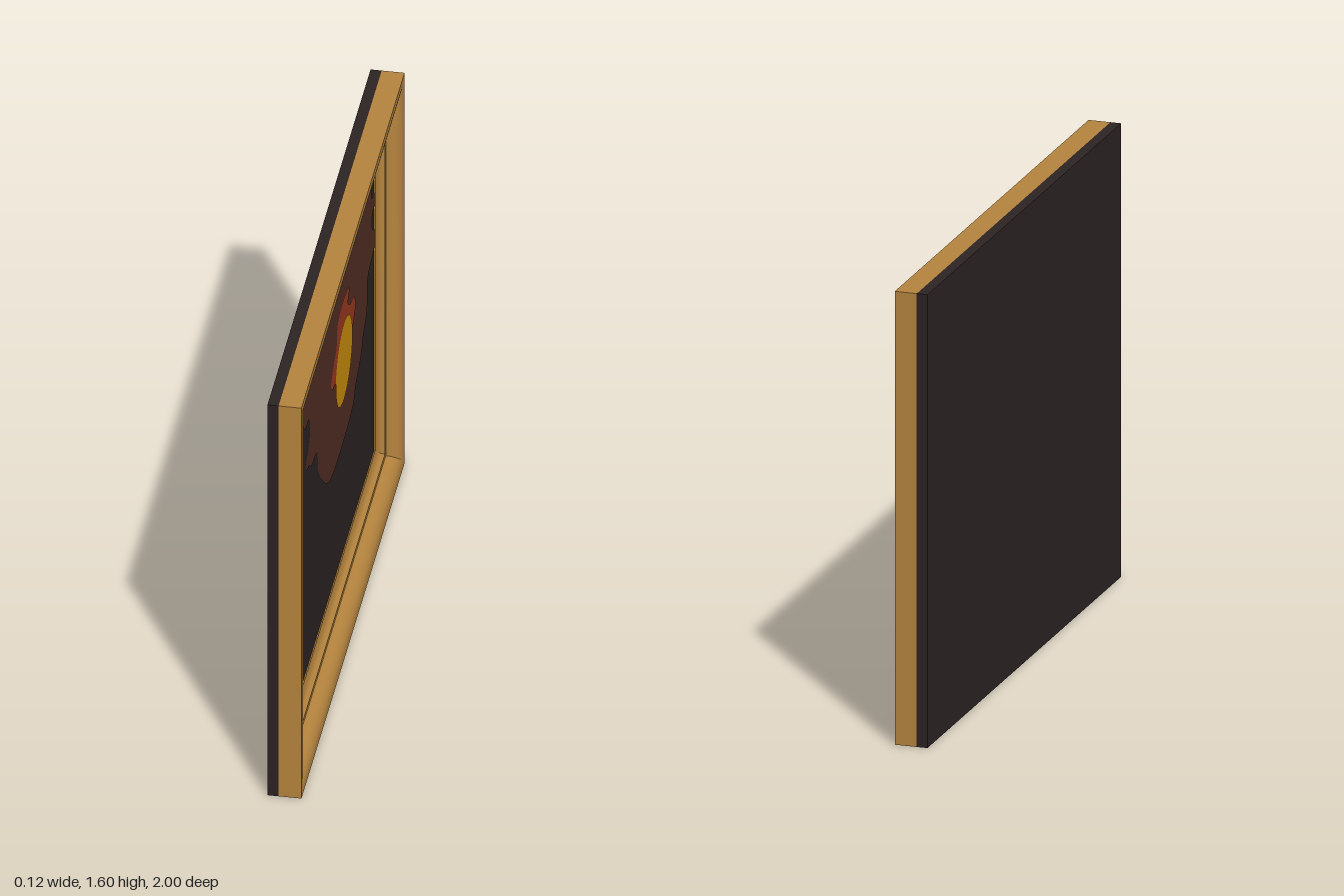
import * as THREE from 'three';
import { toCreasedNormals } from 'three/addons/utils/BufferGeometryUtils.js';

const mat = (name, color) => new THREE.MeshStandardMaterial({ name, color });

// Moulding cross-section: [inset from the outer edge, x]
function mouldingProfile() {
  const p = [[0, -0.02], [0, 0.058], [0.025, 0.058]];
  for (let i = 1; i <= 8; i++) {
    const a = (i / 8) * Math.PI / 2;
    p.push([0.025 + 0.053 * Math.sin(a), 0.004 + 0.054 * Math.cos(a)]);
  }
  p.push([0.08, 0.008], [0.097, 0.008], [0.1, 0.001], [0.105, -0.005],
    [0.115, -0.01], [0.13, -0.014], [0.145, -0.016], [0.145, -0.02]);
  return p;
}

// One mitred bar of the frame, running from corner i to corner i + 1
function barGeometry(i) {
  const signs = [[-1, -1], [1, -1], [1, 1], [-1, 1]];
  const profile = mouldingProfile();
  const point = (c, [t, x]) => {
    const [u, v] = signs[c % 4];
    return [x, 0.8 + v * (0.8 - t), -u * (1 - t)];
  };
  const pos = [];
  for (let j = 0; j < profile.length - 1; j++) {
    const a = point(i, profile[j]), b = point(i + 1, profile[j]);
    const c = point(i + 1, profile[j + 1]), d = point(i, profile[j + 1]);
    pos.push(...a, ...b, ...c, ...a, ...c, ...d);
  }
  const g = new THREE.BufferGeometry();
  g.setAttribute('position', new THREE.Float32BufferAttribute(pos, 3));
  return toCreasedNormals(g, 0.5);
}

// Flat painted patch facing +x, softened outline through (-z, y) points
function patch(name, points, x, material) {
  const curve = new THREE.CatmullRomCurve3(
    points.map(([u, y]) => new THREE.Vector3(u, y, 0)), true, 'centripetal');
  const outline = curve.getPoints(points.length * 4).slice(0, -1);
  const shape = new THREE.Shape(outline.map(p => new THREE.Vector2(p.x, p.y)));
  const mesh = new THREE.Mesh(new THREE.ShapeGeometry(shape).rotateY(Math.PI / 2), material);
  mesh.name = name;
  mesh.position.x = x;
  return mesh;
}

export function createModel() {
  const model = new THREE.Group();
  model.name = 'framedPainting';
  const gold = mat('goldenWood', 0xb5843e);
  const dark = mat('darkCanvas', 0x2d2323);
  const brown = mat('brownPaint', 0x532e24);
  const red = mat('redPaint', 0x9a3820);
  const yellow = mat('yellowPaint', 0xcb8e0c);

  // Backing board, whose front is the dark canvas
  const board = new THREE.Mesh(new THREE.BoxGeometry(0.038, 1.6, 2), dark);
  board.name = 'backingBoard';
  board.position.set(-0.039, 0.8, 0);
  model.add(board);

  // Frame of four mitred bars
  const frame = new THREE.Group();
  frame.name = 'frame';
  ['bottomBar', 'rightBar', 'topBar', 'leftBar'].forEach((name, i) => {
    const bar = new THREE.Mesh(barGeometry(i), gold);
    bar.name = name;
    frame.add(bar);
  });
  model.add(frame);

  // Brown cloud, tucked under the frame at the top and right
  model.add(patch('brownCloud', [
    [-0.75, 1.47], [-0.75, 1.37], [-0.72, 1.34], [-0.66, 1.33], [-0.65, 1.22],
    [-0.54, 1.2], [-0.49, 1.15], [-0.42, 1.145], [-0.395, 1.1], [-0.42, 1.04],
    [-0.49, 0.995], [-0.46, 0.965], [-0.41, 0.95], [-0.37, 0.92], [-0.26, 0.9],
    [-0.24, 0.81], [-0.19, 0.745], [-0.13, 0.69], [-0.08, 0.65], [0.02, 0.605],
    [0.26, 0.595], [0.45, 0.62], [0.49, 0.66], [0.59, 0.71], [0.64, 0.77],
    [0.705, 0.815], [0.72, 0.93], [0.75, 0.955], [0.87, 0.99], [0.87, 1.04],
    [0.81, 1.08], [0.81, 1.14], [0.87, 1.155], [0.87, 1.2], [0.8, 1.21],
    [0.79, 1.265], [0.75, 1.33], [0.68, 1.375], [0.71, 1.41], [0.78, 1.47],
  ], -0.0185, brown));

  // Red glow behind the sun
  model.add(patch('redGlow', [
    [0, 1.0], [0.06, 1.05], [0.115, 1.09], [0.115, 1.125], [0.14, 1.165],
    [0.26, 1.178], [0.36, 1.15], [0.33, 1.11], [0.38, 1.07], [0.45, 1.055],
    [0.475, 1.0], [0.44, 0.96], [0.405, 0.93], [0.36, 0.82], [0.25, 0.764],
    [0.14, 0.82], [0.09, 0.94], [0.02, 0.96],
  ], -0.017, red));

  // Yellow sun disc
  const sun = new THREE.Mesh(new THREE.CircleGeometry(1, 48).rotateY(Math.PI / 2), yellow);
  sun.name = 'sun';
  sun.scale.set(1, 0.155, 0.163);
  sun.position.set(-0.0155, 0.927, -0.247);
  model.add(sun);

  return model;
}
